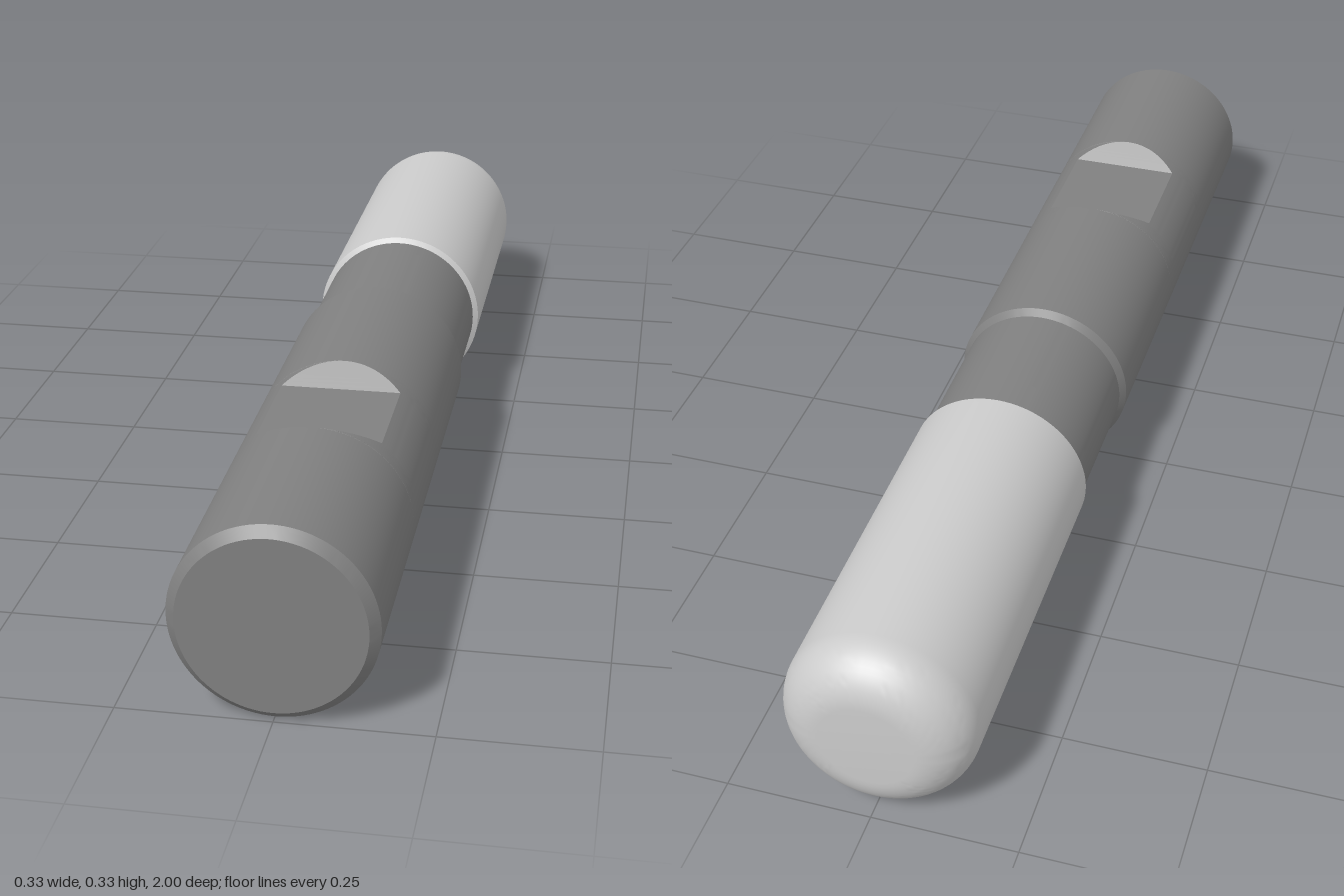
import * as THREE from 'three';
import { toCreasedNormals } from 'three/addons/utils/BufferGeometryUtils.js';

const R = 0.165;            // full radius
const NECK = 0.155;         // relieved neck radius
const SIDES = 96;
const FLAT_DEPTH = 0.038;   // depth of the clamping flat
const FLAT = { back: 0.362, front: 0.644 };

const shankMaterial = new THREE.MeshStandardMaterial({ color: 0x808080 });
const cutterMaterial = new THREE.MeshStandardMaterial({ color: 0xcccccc });

function part(name, geometry, material) {
  const mesh = new THREE.Mesh(toCreasedNormals(geometry, 0.5), material);
  mesh.name = name;
  return mesh;
}

// Revolve [radius, z] pairs, listed from back to front, around the z axis
function turned(name, profile, material) {
  const points = profile.map(([r, z]) => new THREE.Vector2(r, z));
  return part(name, new THREE.LatheGeometry(points, SIDES).rotateX(Math.PI / 2), material);
}

// Skin equal-length rows of points
function loft(rows) {
  const n = rows[0].length;
  const index = [];
  for (let i = 0; i < rows.length - 1; i++) {
    for (let j = 0; j < n - 1; j++) {
      const a = i * n + j, b = a + n;
      index.push(a, b, a + 1, b, b + 1, a + 1);
    }
  }
  const geometry = new THREE.BufferGeometry().setFromPoints(rows.flat());
  geometry.setIndex(index);
  geometry.computeVertexNormals();
  return geometry;
}

// Sections through the notch: z and the half angle cut from the round
function notchSections() {
  const steps = 12;
  const maxAngle = Math.acos((R - FLAT_DEPTH) / R);
  const back = [], front = [];
  for (let i = 0; i <= steps; i++) {
    const angle = maxAngle * i / steps;
    const depth = R * (1 - Math.cos(angle));
    back.push({ z: FLAT.back + depth, angle });
    front.unshift({ z: FLAT.front - depth, angle });
  }
  return [...back, ...front];
}

export function createModel() {
  const model = new THREE.Group();
  model.name = 'endMill';
  const tool = new THREE.Group();
  tool.name = 'tool';
  tool.position.y = R;
  model.add(tool);

  // Shank in front of the notch, with chamfered end
  tool.add(turned('shankEnd', [[R, FLAT.front], [R, 0.984], [0.149, 1], [0, 1]], shankMaterial));

  // Relieved neck and the shank behind the notch
  tool.add(turned('neckAndShank', [
    [NECK, -0.295], [NECK, -0.022], [R, -0.008], [R, FLAT.back],
  ], shankMaterial));

  // Round wall beside the notch
  const sections = notchSections();
  const point = (angle, z) => new THREE.Vector3(R * Math.sin(angle), R * Math.cos(angle), z);
  const wall = sections.map(({ z, angle }) =>
    Array.from({ length: SIDES + 1 }, (_, j) =>
      point(angle + (2 * Math.PI - 2 * angle) * j / SIDES, z)));
  tool.add(part('shankMiddle', loft(wall), shankMaterial));

  // Notch floor and its two sloping ends
  const floor = sections.map(({ z, angle }) => [point(-angle, z), point(angle, z)]);
  tool.add(part('clampingFlat', loft(floor), shankMaterial));

  // Cutting head with rounded tip corner
  const corner = 0.085, steps = 14;
  const head = [[0, -1]];
  for (let i = 0; i <= steps; i++) {
    const t = (Math.PI / 2) * i / steps;
    head.push([R - corner + corner * Math.sin(t), -1 + corner - corner * Math.cos(t)]);
  }
  head.push([R, -0.301], [NECK, -0.295]);
  tool.add(turned('cuttingHead', head, cutterMaterial));

  return model;
}
